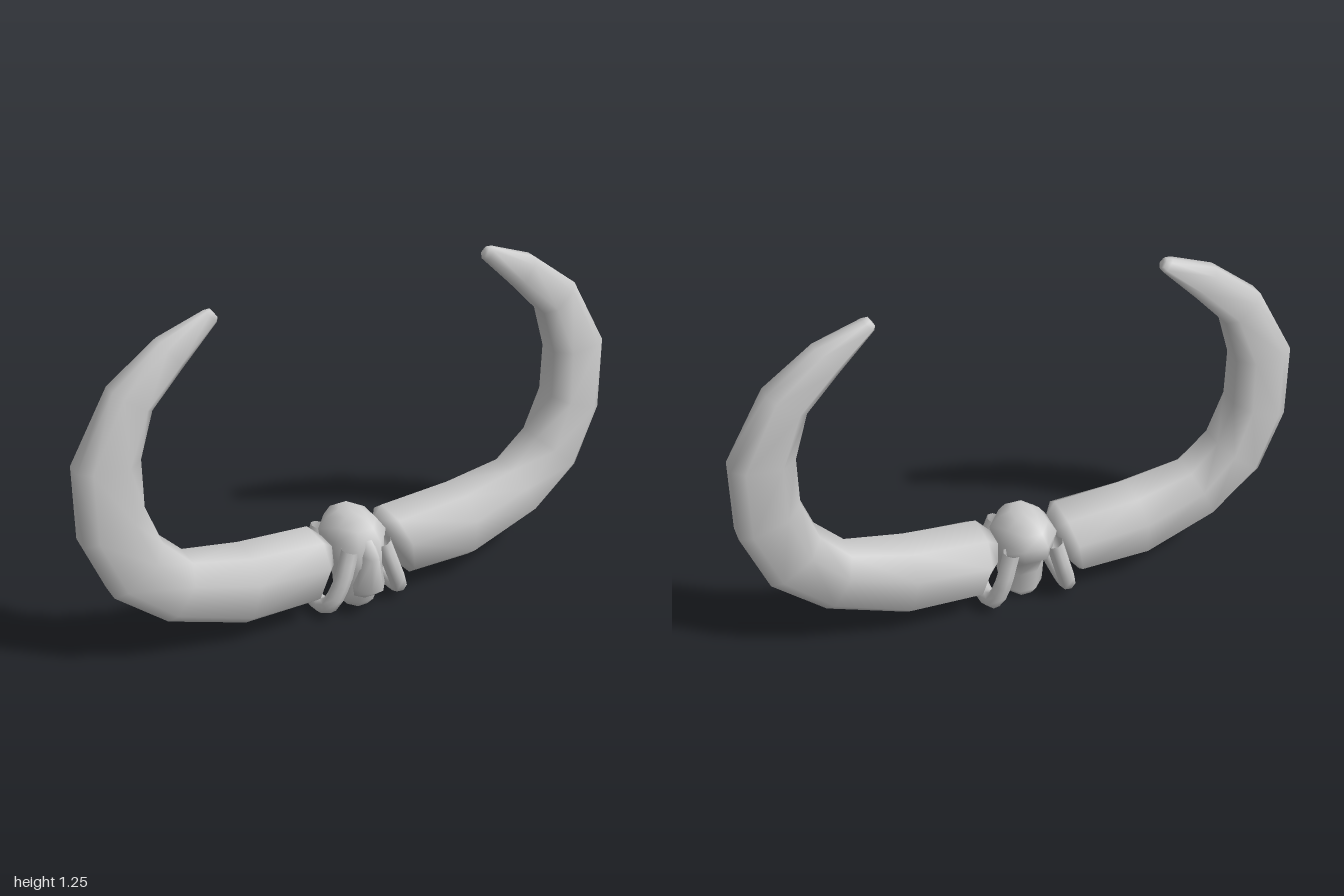
import * as THREE from 'three';

const material = new THREE.MeshStandardMaterial({ color: 0xcccccc, side: THREE.DoubleSide });

// Closed skin over a list of rings, with a fan at each end; smooth normals
function loft(rings, flip = false) {
  const n = rings[0].length, pos = rings.flat(2), index = [];
  const tri = (a, b, c) => index.push(...(flip ? [a, c, b] : [a, b, c]));
  for (let i = 0; i < rings.length - 1; i++) {
    for (let j = 0; j < n; j++) {
      const a = i * n + j, b = i * n + (j + 1) % n;
      tri(a, b, b + n);
      tri(a, b + n, a + n);
    }
  }
  for (const last of [false, true]) {
    const ring = rings[last ? rings.length - 1 : 0];
    const start = last ? (rings.length - 1) * n : 0, centre = pos.length / 3;
    for (let k = 0; k < 3; k++) pos.push(ring.reduce((s, p) => s + p[k], 0) / n);
    for (let j = 0; j < n; j++) {
      const a = start + j, b = start + (j + 1) % n;
      if (last) tri(centre, a, b); else tri(centre, b, a);
    }
  }
  const g = new THREE.BufferGeometry();
  g.setAttribute('position', new THREE.Float32BufferAttribute(pos, 3));
  g.setIndex(index);
  g.computeVertexNormals();
  return g;
}

function part(name, geometry) {
  const m = new THREE.Mesh(geometry, material);
  m.name = name;
  return m;
}

// Horn cross-section: [toward the inside of the bend, along z]
const SECTION = [[1, 0.45], [0.5, 1], [-0.6, 0.8], [-1, 0.38], [-1, -0.38], [-0.6, -0.8], [0.5, -1], [1, -0.45]];

// Horn stations: outer x, y, inner x, y, half width, centre z
const HORN = [
  [0.175, 0.10, 0.105, 0.27, 0.085, -0.02],
  [0.20, 0.075, 0.15, 0.31, 0.14, -0.02],
  [0.45, 0.075, 0.42, 0.33, 0.138, -0.018],
  [0.73, 0.17, 0.63, 0.375, 0.112, -0.016],
  [0.91, 0.32, 0.73, 0.48, 0.098, -0.015],
  [0.997, 0.54, 0.785, 0.635, 0.088, -0.013],
  [0.997, 0.81, 0.785, 0.81, 0.08, -0.012],
  [0.86, 1.06, 0.735, 0.97, 0.07, -0.011],
  [0.69, 1.19, 0.62, 1.09, 0.052, -0.01],
  [0.53, 1.252, 0.495, 1.212, 0.026, -0.01],
  [0.51, 1.255, 0.49, 1.225, 0.016, -0.01],
];

function horn(s) {
  const rings = HORN.map(([ox, oy, ix, iy, w, zc]) => SECTION.map(([u, v]) => {
    const t = (u + 1) / 2;
    return [s * (ox + (ix - ox) * t), oy + (iy - oy) * t, zc + v * w];
  }));
  return loft(rings, s < 0);
}

// Upright block from levels: y, half width, back z, front z
function block(levels, sides) {
  return loft(levels.map(([y, hx, z0, z1]) => Array.from({ length: sides }, (_, j) => {
    const a = (j + 0.5) / sides * Math.PI * 2, k = 1 / Math.cos(Math.PI / sides);
    return [Math.sin(a) * k * hx, y, (z0 + z1) / 2 + Math.cos(a) * k * (z1 - z0) / 2];
  })));
}

// Side rail: a U running down the front, under the horn root and up the back
function rail(s) {
  const path = [
    [0.065, 0.27, 0.075], [0.10, 0.16, 0.085], [0.14, 0.06, 0.06], [0.148, 0.036, -0.02],
    [0.14, 0.06, -0.105], [0.115, 0.14, -0.13], [0.08, 0.27, -0.125],
  ].map(([x, y, z]) => new THREE.Vector3(s * x, y, z));
  return new THREE.TubeGeometry(new THREE.CatmullRomCurve3(path), 14, 0.031, 8);
}

export function createModel() {
  const group = new THREE.Group();
  group.name = 'hornedMount';

  // Horns and the rails that cradle their roots
  for (const [side, s] of [['left', 1], ['right', -1]]) {
    group.add(part(side + 'Horn', horn(s)));
    group.add(part(side + 'Rail', rail(s)));
  }

  // Central body, hollowed below at the back
  group.add(part('centreBody', block([
    [0.008, 0.045, -0.06, 0.05],
    [0.04, 0.07, -0.08, 0.075],
    [0.12, 0.08, -0.08, 0.10],
    [0.19, 0.09, -0.11, 0.11],
    [0.23, 0.10, -0.155, 0.11],
    [0.285, 0.105, -0.16, 0.10],
    [0.33, 0.075, -0.135, 0.07],
    [0.355, 0.038, -0.10, 0.035],
  ], 8)));

  // Ridge down the front
  group.add(part('frontRidge', block([
    [0.075, 0.045, 0.0, 0.10],
    [0.125, 0.055, 0.0, 0.157],
    [0.25, 0.035, 0.0, 0.143],
    [0.30, 0.03, 0.0, 0.09],
  ], 8)));

  return group;
}
